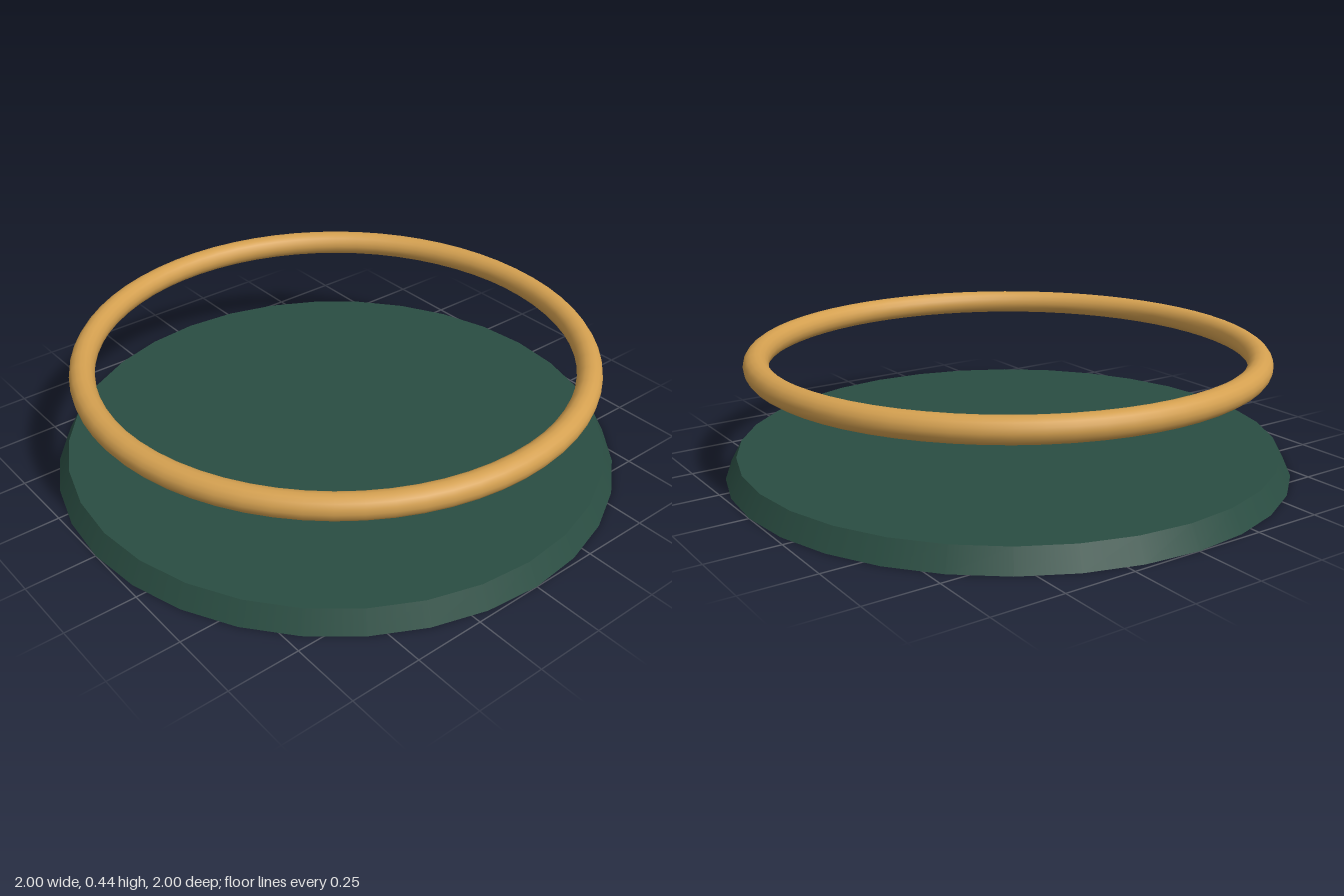
import * as THREE from 'three';

export function createModel() {
  const model = new THREE.Group();

  const addPart = (name, geometry, color, y) => {
    const mesh = new THREE.Mesh(geometry, new THREE.MeshStandardMaterial({ color }));
    mesh.name = name;
    mesh.position.y = y;
    model.add(mesh);
  };

  // Low round base with a sloping rim
  const baseHeight = 0.075;
  addPart('base', new THREE.CylinderGeometry(0.96, 1, baseHeight, 32), 0x2a4d42, baseHeight / 2);

  // Ring floating level above the base
  const ring = new THREE.TorusGeometry(0.875, 0.0435, 16, 64).rotateX(Math.PI / 2);
  addPart('ring', ring, 0xd4a050, 0.396);

  return model;
}
